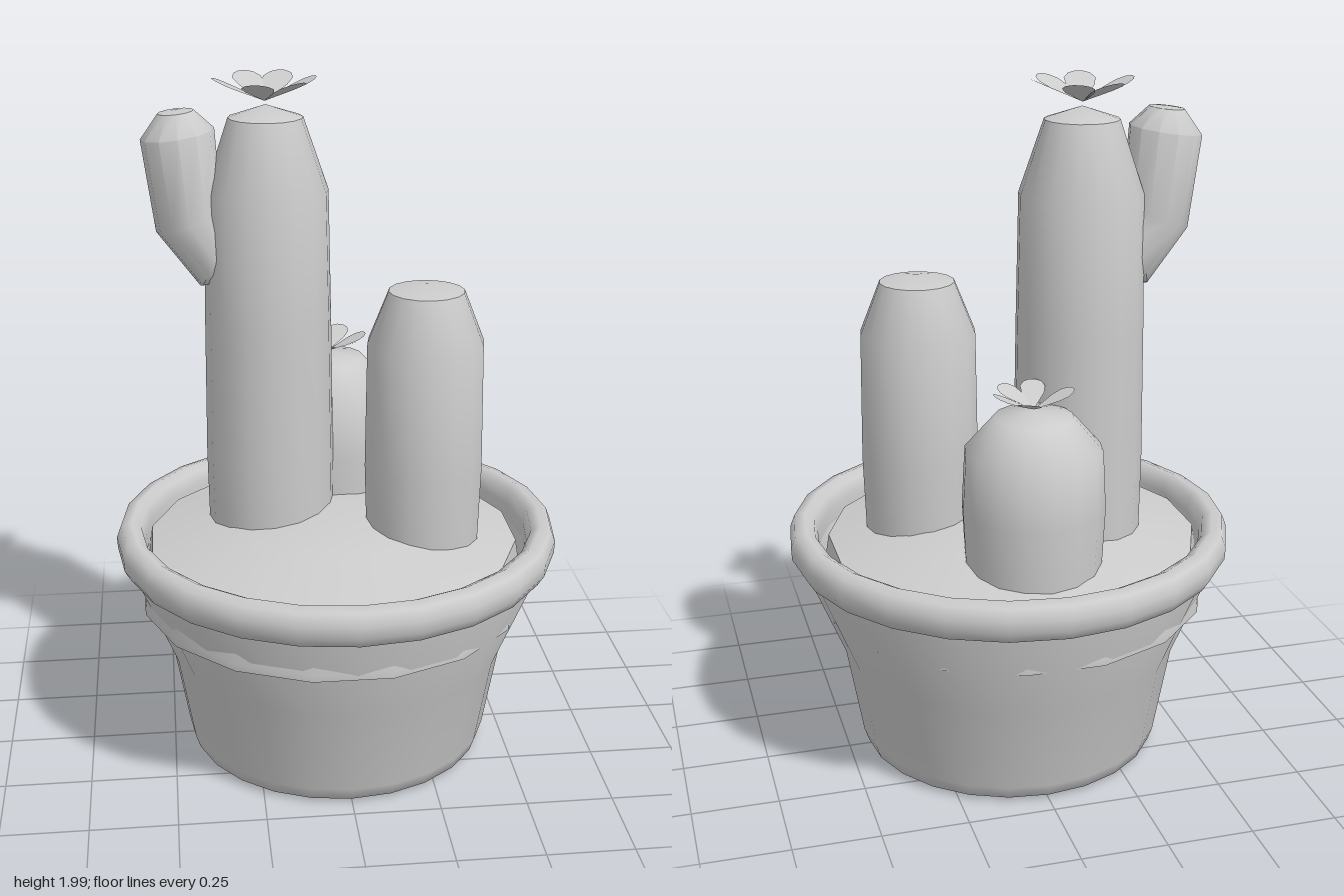
import * as THREE from 'three';
import { toCreasedNormals } from 'three/addons/utils/BufferGeometryUtils.js';

const material = new THREE.MeshStandardMaterial({ color: 0xcccccc });
const thin = new THREE.MeshStandardMaterial({ color: 0xcccccc, side: THREE.DoubleSide });

function addMesh(parent, name, geometry, mat = material, crease = 0.75) {
  const mesh = new THREE.Mesh(toCreasedNormals(geometry, crease), mat);
  mesh.name = name;
  parent.add(mesh);
  return mesh;
}

// Profile points are [radius, height]
function lathe(profile, sides, phase = 0) {
  return new THREE.LatheGeometry(profile.map(([r, y]) => new THREE.Vector2(r, y)), sides, phase);
}

// Lofted elliptical rings: [outer x, outer y, inner x, inner y, half depth]
function loft(rings, z, sides) {
  const pos = [], index = [];
  rings.forEach(([ox, oy, ix, iy, depth], k) => {
    for (let i = 0; i < sides; i++) {
      const a = (i / sides) * Math.PI * 2, c = Math.cos(a) / 2;
      pos.push((ox + ix) / 2 + (ix - ox) * c, (oy + iy) / 2 + (iy - oy) * c, z + depth * Math.sin(a));
      if (k === 0) continue;
      const j = (i + 1) % sides, lo = (k - 1) * sides, hi = k * sides;
      index.push(lo + i, hi + i, lo + j, lo + j, hi + i, hi + j);
    }
  });
  const geometry = new THREE.BufferGeometry();
  geometry.setAttribute('position', new THREE.Float32BufferAttribute(pos, 3));
  geometry.setIndex(index);
  return geometry;
}

// Six flat petals rising from a common point
function makeFlower(name, length, rise, turn) {
  const flower = new THREE.Group();
  flower.name = name;
  const half = [[0.3, 0.14], [0.55, 0.25], [0.78, 0.28], [0.93, 0.2], [1, 0.07]];
  const outline = [[0, 0], ...half.map(([x, w]) => [x, -w]), ...half.slice().reverse()];
  const shape = new THREE.Shape(outline.map(([x, y]) => new THREE.Vector2(x * length, y * length)));
  for (const degrees of [4, 66, 112, 182, 257, 309]) {
    const petal = new THREE.ShapeGeometry(shape);
    petal.rotateX(-Math.PI / 2);
    petal.rotateZ(Math.atan2(rise, length));
    petal.rotateY(THREE.MathUtils.degToRad(degrees + turn));
    addMesh(flower, 'petal', petal, thin);
  }
  return flower;
}

export function createModel() {
  const model = new THREE.Group();
  model.name = 'pottedCacti';

  // Pot: tapered outside, rolled rim and inner wall
  addMesh(model, 'pot', lathe([
    [0, 0], [0.42, 0], [0.44, 0.012], [0.453, 0.05], [0.5, 0.32], [0.61, 0.59], [0.61, 0.62],
  ], 24));
  addMesh(model, 'rim', lathe([
    [0.595, 0.6], [0.63, 0.605], [0.648, 0.635], [0.65, 0.67], [0.637, 0.705],
    [0.605, 0.715], [0.578, 0.7], [0.568, 0.66], [0.568, 0.6], [0.595, 0.6],
  ], 24), material, 1);
  addMesh(model, 'innerWall', lathe([[0.57, 0.62], [0.53, 0.46]], 24), thin);

  // Soil: low dome whose lower edge meets the pot wall
  const soil = addMesh(model, 'soil', lathe([
    [0, 0.47], [0.572, 0.47], [0.572, 0.49], [0.545, 0.655], [0.3, 0.712], [0, 0.75],
  ], 16, Math.PI / 16));
  soil.position.set(-0.012, 0, 0.005);

  // Cactus columns: tapering shoulder and a shallow cap
  const cacti = [
    { name: 'tallCactus', at: [-0.188, -0.077], profile: [[0.183, 0.6], [0.187, 0.9], [0.182, 1.3], [0.175, 1.68], [0.105, 1.885], [0, 1.92]] },
    { name: 'mediumCactus', at: [0.247, 0.08], profile: [[0.163, 0.6], [0.172, 0.9], [0.167, 1.27], [0.108, 1.42], [0, 1.44]] },
    { name: 'roundCactus', at: [0.005, -0.285], profile: [[0.19, 0.6], [0.202, 0.85], [0.193, 1.02], [0.11, 1.115], [0, 1.13]] },
  ];
  for (const { name, at, profile } of cacti) {
    const crease = name === 'roundCactus' ? 0.9 : 0.75;
    const cactus = addMesh(model, name, lathe(profile, 16), material, crease);
    cactus.position.set(at[0], 0, at[1]);
  }

  // Side arm bending up from the tall cactus
  addMesh(model, 'arm', loft([
    [-0.29, 1.42, -0.26, 1.58, 0.07],
    [-0.38, 1.41, -0.3, 1.6, 0.09],
    [-0.5, 1.57, -0.315, 1.64, 0.1],
    [-0.535, 1.83, -0.33, 1.86, 0.103],
    [-0.485, 1.9, -0.385, 1.91, 0.052],
    [-0.436, 1.91, -0.434, 1.91, 0.001],
  ], -0.072, 12));

  // Flowers on top
  const tallFlower = makeFlower('tallFlower', 0.158, 0.07, 0);
  tallFlower.position.set(-0.19, 1.93, -0.073);
  const roundFlower = makeFlower('roundFlower', 0.125, 0.055, -1);
  roundFlower.position.set(0.006, 1.134, -0.285);
  model.add(tallFlower, roundFlower);

  return model;
}
